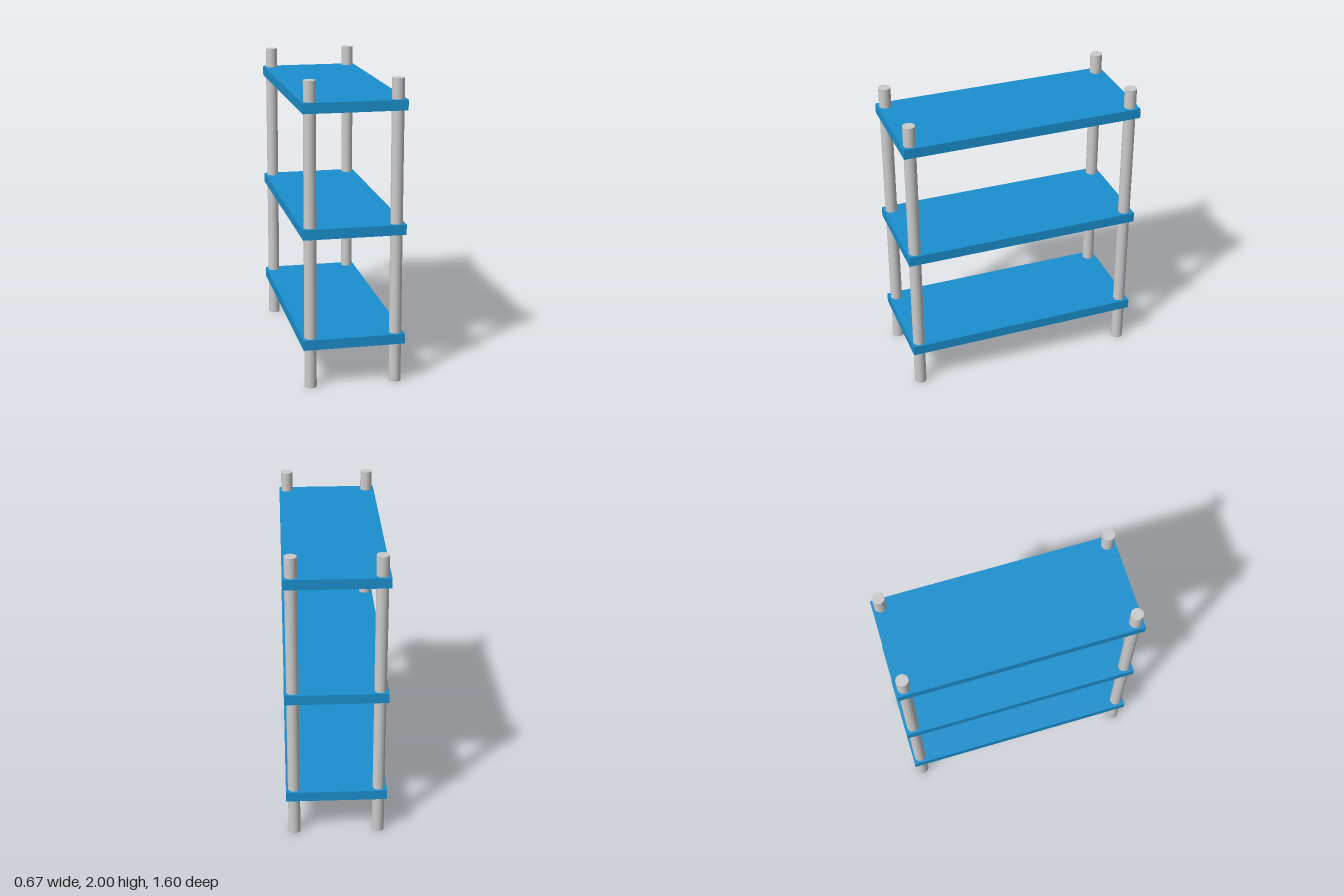
import * as THREE from 'three';

const POST = { radius: 0.04, height: 2, x: 0.28, z: 0.747 };
const SHELF = { width: 0.667, thickness: 0.067, depth: 1.6 };
const SHELF_BOTTOMS = { lowerShelf: 0.267, middleShelf: 1.0, upperShelf: 1.8 };

export function createModel() {
  const model = new THREE.Group();
  model.name = 'shelvingUnit';

  const grey = new THREE.MeshStandardMaterial({ color: 0xcccccc });
  const blue = new THREE.MeshStandardMaterial({ color: 0x1b90cf });

  // Four round corner posts running the full height
  const postGeometry = new THREE.CylinderGeometry(POST.radius, POST.radius, POST.height, 32);
  for (const [side, sx] of [['Left', 1], ['Right', -1]]) {
    for (const [end, sz] of [['front', 1], ['back', -1]]) {
      const post = new THREE.Mesh(postGeometry, grey);
      post.name = `${end}${side}Post`;
      post.position.set(sx * POST.x, POST.height / 2, sz * POST.z);
      model.add(post);
    }
  }

  // Three flat boards pierced by the posts
  const shelfGeometry = new THREE.BoxGeometry(SHELF.width, SHELF.thickness, SHELF.depth);
  for (const [name, bottom] of Object.entries(SHELF_BOTTOMS)) {
    const shelf = new THREE.Mesh(shelfGeometry, blue);
    shelf.name = name;
    shelf.position.y = bottom + SHELF.thickness / 2;
    model.add(shelf);
  }

  return model;
}
